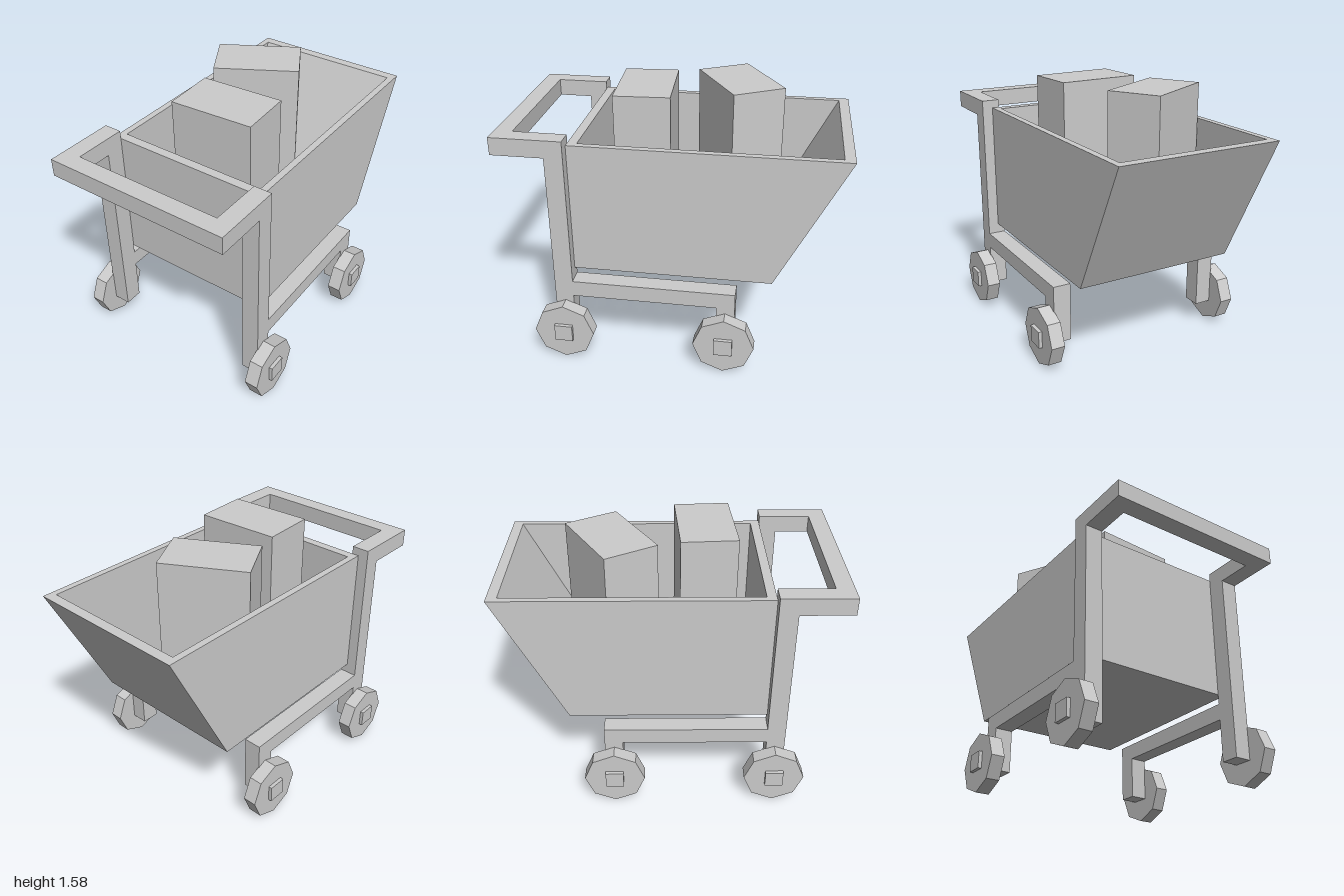
import * as THREE from 'three';

const material = new THREE.MeshStandardMaterial({ color: 0xcccccc, flatShading: true });

export function createModel() {
  const cart = new THREE.Group();
  cart.name = 'cart';

  const add = (name, geometry) => {
    const mesh = new THREE.Mesh(geometry, material);
    mesh.name = name;
    cart.add(mesh);
    return mesh;
  };
  // Box given by its extents on each axis
  const block = (name, [x0, x1], [y0, y1], [z0, z1]) =>
    add(name, new THREE.BoxGeometry(x1 - x0, y1 - y0, z1 - z0))
      .position.set((x0 + x1) / 2, (y0 + y1) / 2, (z0 + z1) / 2);

  // Basket: rectangular rings from the underside, over the rim, down to the floor
  add('basket', basketGeometry([
    { x: 0.5, y: 0.56, z0: -0.6, z1: 0.58 },
    { x: 0.5, y: 1.356, z0: -1, z1: 0.58 },
    { x: 0.46, y: 1.356, z0: -0.94, z1: 0.525 },
    { x: 0.46, y: 0.62, z0: -0.57, z1: 0.525 },
  ]));

  // Handle bar joining the two arms
  block('handleBar', [-0.565, 0.565], [1.3, 1.405], [0.895, 1]);

  for (const side of [-1, 1]) {
    const label = side > 0 ? 'left' : 'right';
    const span = side > 0 ? [0.457, 0.565] : [-0.565, -0.457];

    // Frame: handle arm, tall post, lower rail and short leg
    block(label + 'HandleArm', span, [1.3, 1.405], [0.58, 0.895]);
    block(label + 'Post', span, [0.14, 1.3], [0.58, 0.69]);
    block(label + 'Rail', span, [0.4, 0.5], [-0.395, 0.58]);
    block(label + 'Leg', span, [0.14, 0.4], [-0.395, -0.285]);

    // Octagonal wheels with square hubs
    for (const z of [0.63, -0.338]) {
      const wheel = add(label + 'Wheel', new THREE.CylinderGeometry(0.182, 0.182, 0.083, 8));
      wheel.rotation.z = Math.PI / 2;
      wheel.position.set(side * 0.602, 0.183, z);
      const hub = add(label + 'Hub', new THREE.BoxGeometry(0.1, 0.104, 0.108));
      hub.position.set(side * 0.615, 0.185, z);
    }
  }

  // Parcels standing on the basket floor
  for (const [x, z, turn] of [[0.017, 0.208, 0.058], [-0.138, -0.334, 0.517]]) {
    const parcel = add('parcel', new THREE.BoxGeometry(0.51, 0.96, 0.328));
    parcel.position.set(x, 1.098, z);
    parcel.rotation.y = turn;
  }
  return cart;
}

// Joins successive rectangular rings and closes the first and last
function basketGeometry(rings) {
  const positions = [];
  const index = [];
  for (const { x, y, z0, z1 } of rings) {
    positions.push(-x, y, z1, x, y, z1, x, y, z0, -x, y, z0);
  }
  const quad = (a, b, c, d) => index.push(a, b, c, a, c, d);
  quad(3, 2, 1, 0);
  for (let r = 0; r < rings.length - 1; r++) {
    for (let i = 0; i < 4; i++) {
      const a = r * 4 + i;
      const b = r * 4 + (i + 1) % 4;
      quad(a, b, b + 4, a + 4);
    }
  }
  const last = (rings.length - 1) * 4;
  quad(last, last + 1, last + 2, last + 3);

  const indexed = new THREE.BufferGeometry();
  indexed.setAttribute('position', new THREE.Float32BufferAttribute(positions, 3));
  indexed.setIndex(index);
  const geometry = indexed.toNonIndexed();
  geometry.computeVertexNormals();
  return geometry;
}
